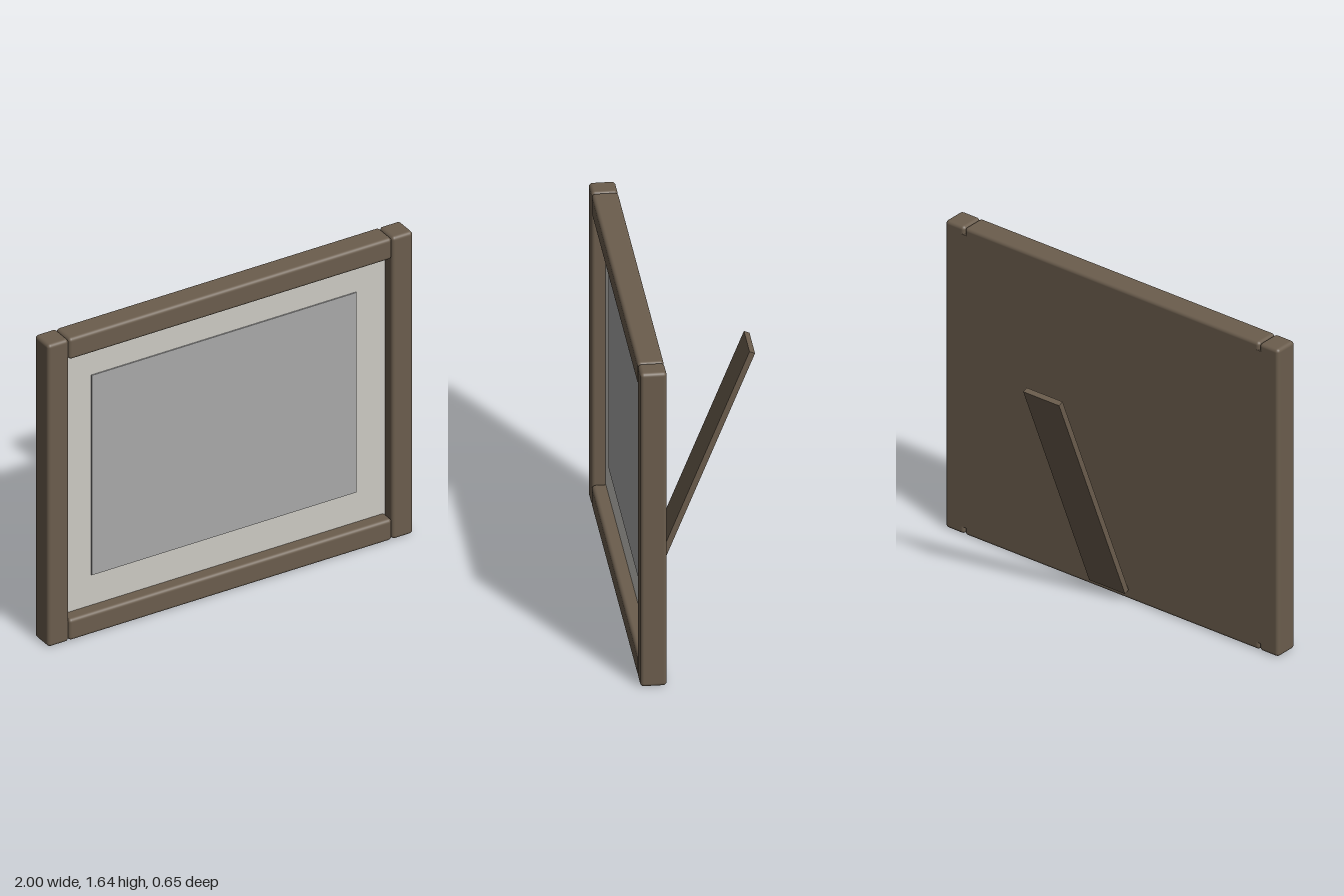
import * as THREE from 'three';
import { RoundedBoxGeometry } from 'three/addons/geometries/RoundedBoxGeometry.js';

const material = (name, color) => {
  const m = new THREE.MeshStandardMaterial({ color });
  m.name = name;
  return m;
};

export function createModel() {
  const wood = material('brown wood', 0x6b5d4d);
  const card = material('pale card', 0xcccac3);
  const grey = material('picture grey', 0xa8a8a8);

  const group = new THREE.Group();
  group.name = 'pictureFrame';
  const add = (name, geometry, mat, x, y, z) => {
    const mesh = new THREE.Mesh(geometry, mat);
    mesh.name = name;
    mesh.position.set(x, y, z);
    group.add(mesh);
    return mesh;
  };

  const height = 1.64, bar = 0.115, depth = 0.125, z = 0.2625, radius = 0.018;
  const innerWidth = 2 - 2 * bar;

  // Rounded frame bars: two full-height posts with two rails between them
  for (const [side, s] of [['left', 1], ['right', -1]]) {
    add(side + 'Post', new RoundedBoxGeometry(bar, height, depth, 3, radius), wood, s * (1 - bar / 2), height / 2, z);
  }
  for (const [name, y] of [['bottomRail', bar / 2], ['topRail', height - bar / 2]]) {
    add(name, new RoundedBoxGeometry(innerWidth, bar, depth, 3, radius), wood, 0, y, z);
  }

  // Backing board, flush with the rear of the bars
  add('backingBoard', new THREE.BoxGeometry(1.92, 1.56, 0.05), wood, 0, height / 2, 0.225);

  // Mount and picture, recessed behind the front of the bars
  add('mount', new THREE.BoxGeometry(innerWidth + 0.04, height - 2 * bar + 0.04, 0.009), card, 0, height / 2, 0.2545);
  add('picture', new THREE.BoxGeometry(1.45, 1.085, 0.006), grey, 0, 0.822, 0.262);

  // Leaning rear stand
  const stand = add('rearStand', new THREE.BoxGeometry(0.215, 1.31, 0.028), wood, 0, 0.658, -0.065);
  stand.rotation.x = -0.383;

  return group;
}
